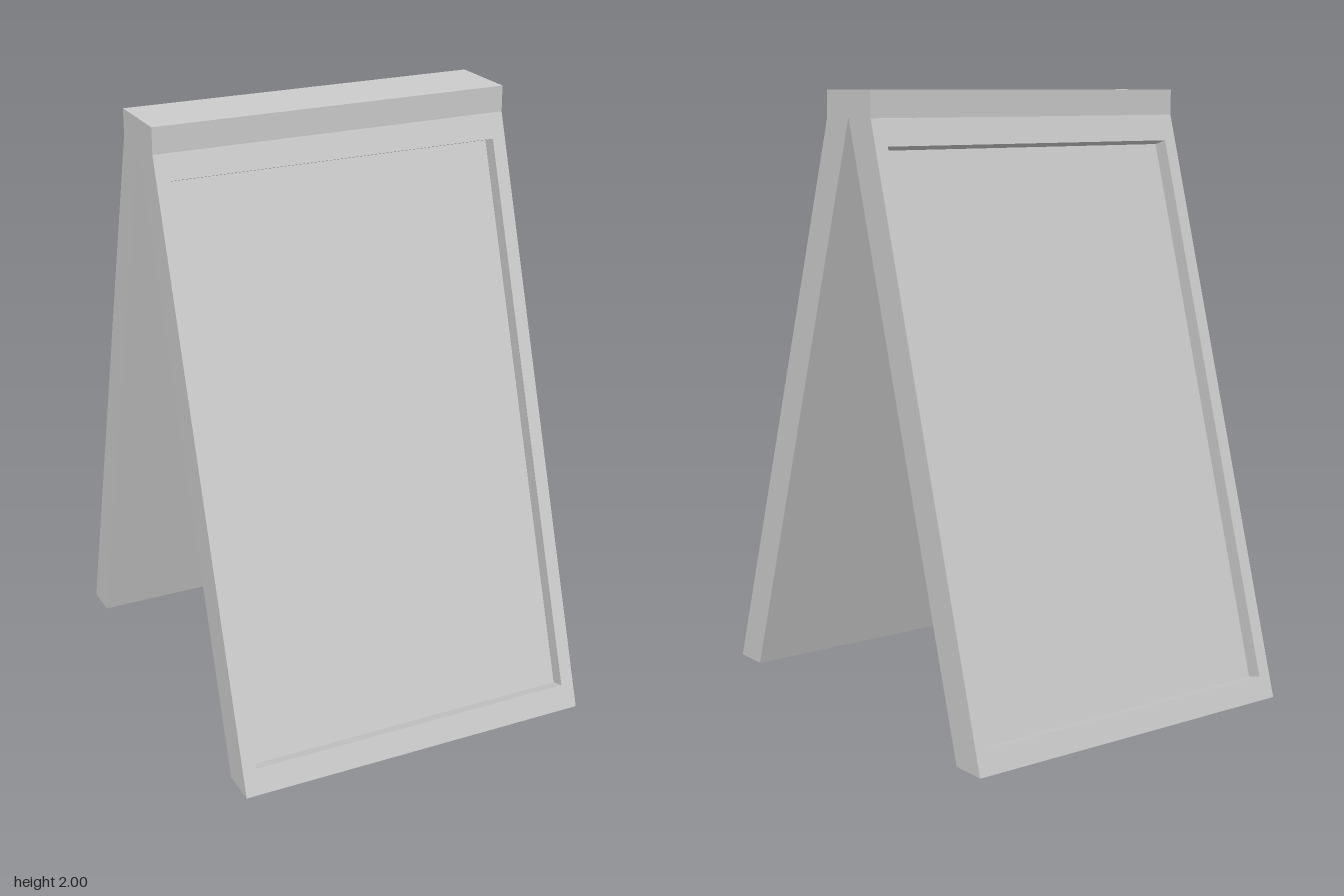
import * as THREE from 'three';

const HALF = 0.605;          // half width of the board
const OPEN = 0.56;           // half width of the recessed display
const DEPTH = 0.05;          // recess depth
const mat = new THREE.MeshStandardMaterial({ color: 0xcccccc, side: THREE.DoubleSide, flatShading: true });

// Side outline as [z, y]: up the front, over the cap, down the back, then the inner faces
const P = [
  [0.72, 0.01], [0.085, 1.915], [0.085, 2], [-0.165, 2], [-0.165, 1.915],
  [-0.72, 0], [-0.6, 0], [-0.04, 1.917], [0.595, 0.01],
];

function add(parent, name, geometry) {
  const mesh = new THREE.Mesh(geometry, mat);
  mesh.name = name;
  parent.add(mesh);
  return mesh;
}

// Flat four-sided face, corners anticlockwise seen from its front
function quad(a, b, c, d) {
  const g = new THREE.BufferGeometry();
  g.setAttribute('position', new THREE.Float32BufferAttribute([...a, ...b, ...c, ...a, ...c, ...d], 3));
  g.computeVertexNormals();
  return g;
}

// Strip across the full width over one edge of the side outline
function strip(parent, name, i) {
  const [az, ay] = P[i], [bz, by] = P[i + 1];
  add(parent, name, quad([-HALF, ay, az], [HALF, ay, az], [HALF, by, bz], [-HALF, by, bz]));
}

// Sloping outer board with a recessed display; y runs up the slope, z points outward
function board(name, bottom, top, yLow, yHigh, facing) {
  const g = new THREE.Group();
  g.name = name;
  const origin = new THREE.Vector3(0, bottom[1], bottom[0]);
  const up = new THREE.Vector3(0, top[1], top[0]).sub(origin);
  const length = up.length();
  const scale = length / (top[1] - bottom[1]);
  const lo = (yLow - bottom[1]) * scale, hi = (yHigh - bottom[1]) * scale;
  up.normalize();
  const across = new THREE.Vector3(facing, 0, 0);
  const out = across.clone().cross(up);
  g.applyMatrix4(new THREE.Matrix4().makeBasis(across, up, out).setPosition(origin));

  // Border around the opening
  const corners = [[-OPEN, lo], [OPEN, lo], [OPEN, hi], [-OPEN, hi]];
  const vec = (list) => list.map(([x, y]) => new THREE.Vector2(x, y));
  const border = new THREE.Shape(vec([[-HALF, 0], [HALF, 0], [HALF, length], [-HALF, length]]));
  border.holes.push(new THREE.Path(vec(corners)));
  add(g, 'border', new THREE.ShapeGeometry(border));

  // Recess walls and display panel
  corners.forEach((a, i) => {
    const b = corners[(i + 1) % 4];
    add(g, 'recessWall', quad([...a, 0], [...b, 0], [...b, -DEPTH], [...a, -DEPTH]));
  });
  add(g, 'displayPanel', quad(...corners.map((c) => [...c, -DEPTH])));
  return g;
}

export function createModel() {
  const model = new THREE.Group();
  model.name = 'sandwichBoard';

  model.add(board('frontBoard', P[0], P[1], 0.09, 1.835, 1));
  model.add(board('backBoard', P[5], P[4], 0.075, 1.83, -1));

  // Cap and inner faces; the feet are open underneath
  strip(model, 'capFront', 1);
  strip(model, 'capTop', 2);
  strip(model, 'capBack', 3);
  strip(model, 'backInnerFace', 6);
  strip(model, 'frontInnerFace', 7);

  // Side walls
  for (const s of [1, -1]) {
    const outline = new THREE.Shape(P.map(([z, y]) => new THREE.Vector2(-s * z, y)));
    const side = add(model, s > 0 ? 'leftSide' : 'rightSide', new THREE.ShapeGeometry(outline));
    side.rotation.y = s * Math.PI / 2;
    side.position.x = s * HALF;
  }
  return model;
}
